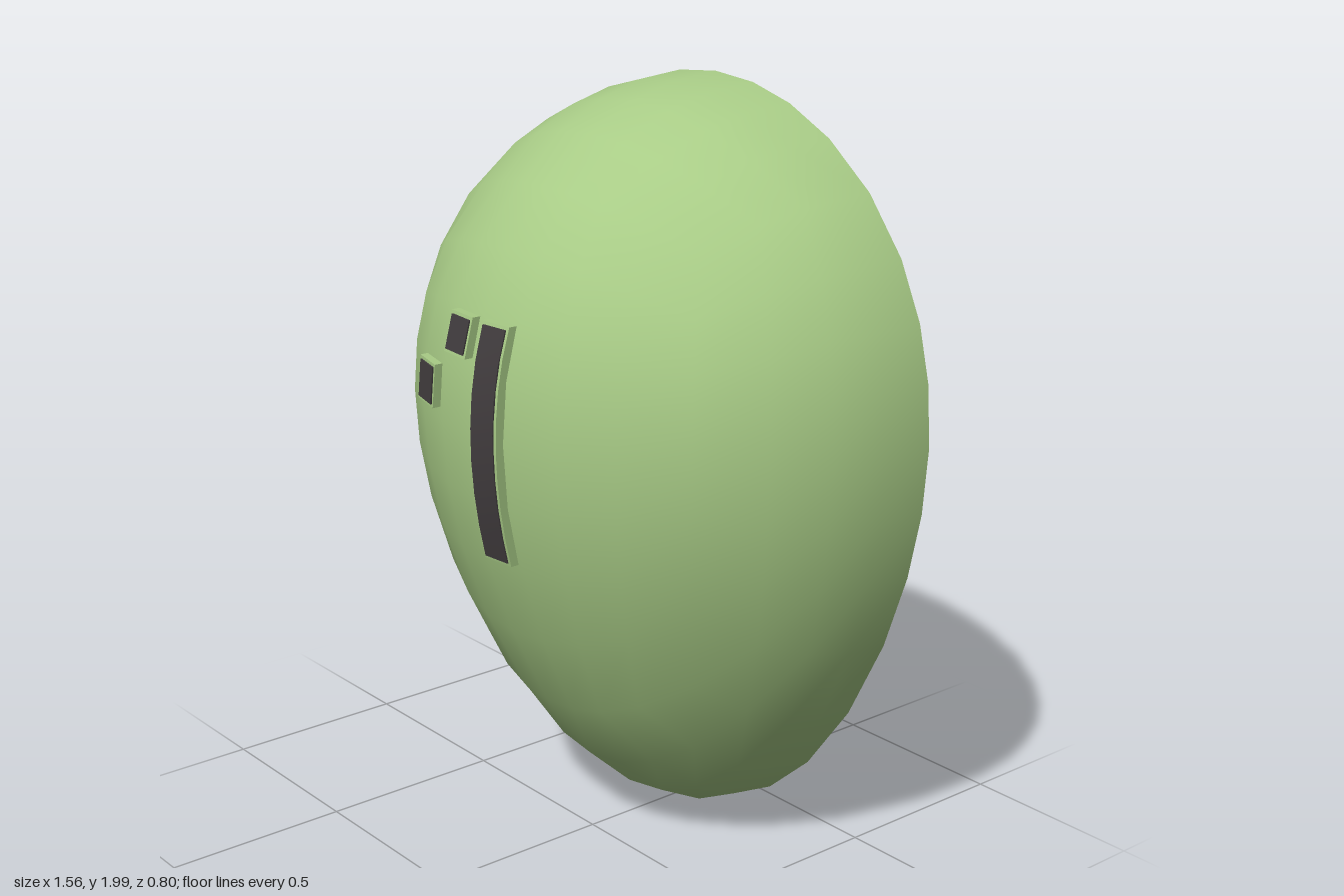
import * as THREE from 'three';
import { mergeVertices, toCreasedNormals } from 'three/addons/utils/BufferGeometryUtils.js';

const RADIUS = 0.78, BACK = -0.4, MIDDLE = 1.19;
const green = new THREE.MeshStandardMaterial({ color: 0xa8cb86, side: THREE.DoubleSide });
const dark = new THREE.MeshStandardMaterial({ color: 0x413c3e });

// Egg rule: unit height s (-1..1) to y, blunt above and long below
const eggY = (s) => MIDDLE + 0.917 * s - 0.1875 * s * s + 0.08 * s ** 3;

// Front of the egg at (x, y)
function eggZ(x, y) {
  let s = 0;
  for (let i = 0; i < 10; i++) s = (y - MIDDLE + 0.1875 * s * s - 0.08 * s ** 3) / 0.917;
  return BACK + Math.sqrt(RADIUS * RADIUS * (1 - s * s) - x * x);
}

// Half of a rounded cube, open at the back, shaped into an egg
function shellGeometry() {
  const box = new THREE.BoxGeometry(2, 2, 1, 8, 8, 4).translate(0, 0, 0.5);
  box.setIndex(Array.from(box.index.array).slice(0, box.groups[5].start));
  box.clearGroups();
  box.deleteAttribute('uv');
  box.deleteAttribute('normal');
  const steps = [0, 0.18, 0.37, 0.62, 1];
  const spread = (c) => Math.sign(c) * steps[Math.round(Math.abs(c) * 4)];
  const pos = box.attributes.position;
  const v = new THREE.Vector3();
  for (let i = 0; i < pos.count; i++) {
    v.fromBufferAttribute(pos, i);
    v.set(spread(v.x), spread(v.y), spread(v.z)).normalize();
    pos.setXYZ(i, v.x * RADIUS, eggY(v.y), BACK + v.z * RADIUS);
  }
  const shell = mergeVertices(box);
  shell.computeVertexNormals();
  return shell;
}

// A slab that follows the curve of the shell and shows on both sides of it
function curvedSlab(x, y, width, height, depth) {
  const rows = Math.max(1, Math.round(height / 0.08));
  const geo = new THREE.BoxGeometry(width, height, depth, 1, rows, 1).translate(x, y, 0);
  const pos = geo.attributes.position;
  for (let i = 0; i < pos.count; i++) {
    pos.setZ(i, pos.getZ(i) + eggZ(pos.getX(i), pos.getY(i)));
  }
  return toCreasedNormals(geo, 0.6);
}

function add(group, name, geometry, material) {
  const mesh = new THREE.Mesh(geometry, material);
  mesh.name = name;
  group.add(mesh);
}

export function createModel() {
  const model = new THREE.Group();
  model.name = 'mask';
  add(model, 'shell', shellGeometry(), green);

  // Eye slit and two square holes: green rim with a dark panel
  const openings = [
    ['longSlit', 0.067, 1.175, 0.096, 0.605],
    ['upperSquare', -0.068, 1.426, 0.098, 0.1],
    ['lowerSquare', -0.208, 1.276, 0.102, 0.11],
  ];
  for (const [name, x, y, w, h] of openings) {
    const opening = new THREE.Group();
    opening.name = name;
    add(opening, name + 'Rim', curvedSlab(x, y, w, h, 0.04), green);
    add(opening, name + 'Panel', curvedSlab(x, y, w - 0.016, h - 0.016, 0.046), dark);
    model.add(opening);
  }
  return model;
}
